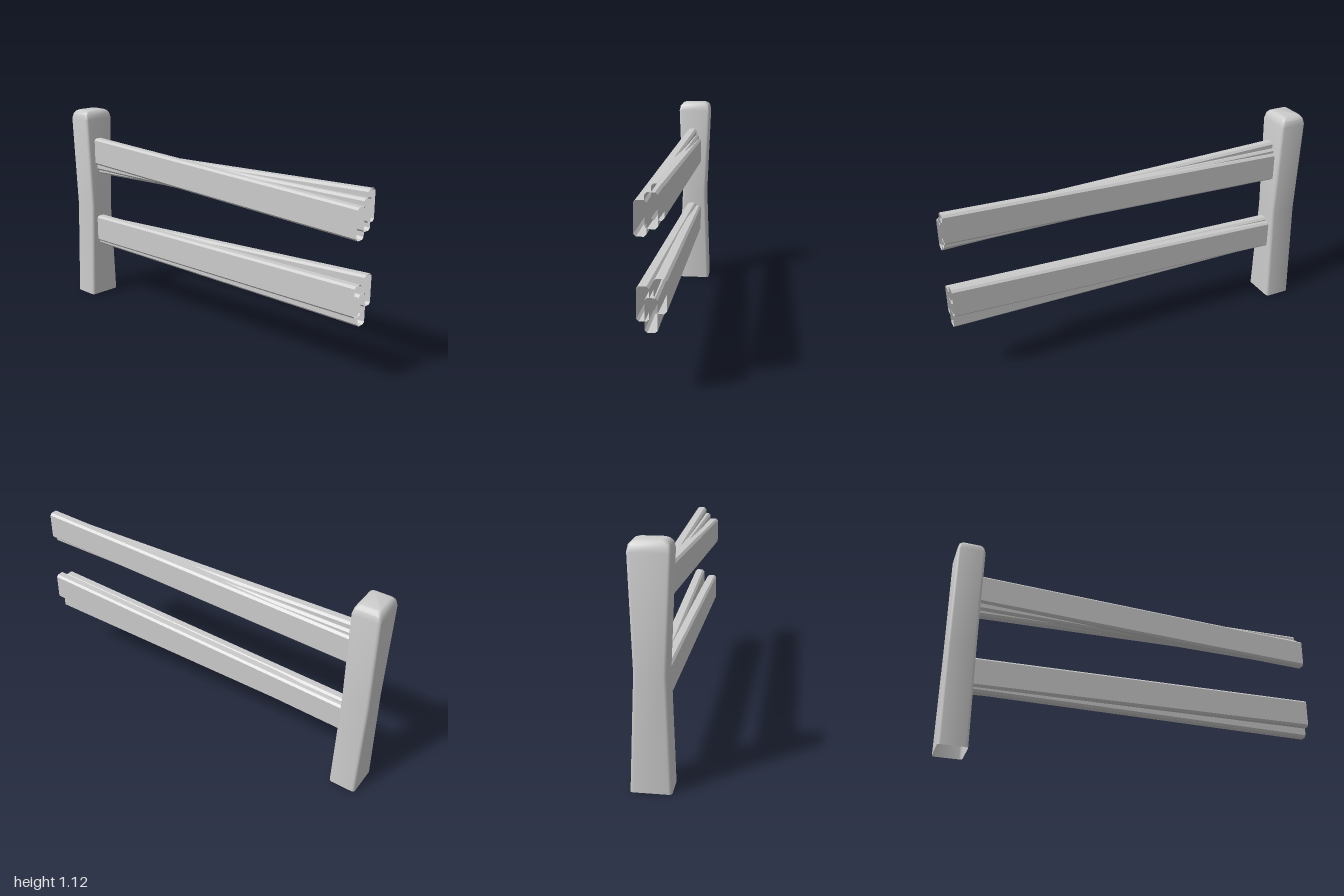
import * as THREE from 'three';
import { toCreasedNormals } from 'three/addons/utils/BufferGeometryUtils.js';

const material = new THREE.MeshStandardMaterial({ color: 0xcccccc, side: THREE.DoubleSide });

// Rectangle outline with rounded (or, with one segment, chamfered) corners
function outline(w, h, r, segments) {
  const points = [];
  [[1, 1], [-1, 1], [-1, -1], [1, -1]].forEach(([su, sv], corner) => {
    for (let i = 0; i <= segments; i++) {
      const a = (corner + i / segments) * Math.PI / 2;
      points.push([su * (w / 2 - r) + r * Math.cos(a), sv * (h / 2 - r) + r * Math.sin(a)]);
    }
  });
  return points;
}

// Skin over a row of matching rings, optionally closed at the last one
function loft(rings, closeEnd, crease) {
  const n = rings[0].length;
  const index = [];
  const positions = rings.flat(2);
  for (let k = 0; k < rings.length - 1; k++) {
    for (let i = 0; i < n; i++) {
      const a = k * n + i, b = k * n + (i + 1) % n;
      index.push(a, b, b + n, a, b + n, a + n);
    }
  }
  if (closeEnd) {
    const last = (rings.length - 1) * n;
    for (let i = 1; i < n - 1; i++) index.push(last, last + i, last + i + 1);
  }
  const geometry = new THREE.BufferGeometry();
  geometry.setAttribute('position', new THREE.Float32BufferAttribute(positions, 3));
  geometry.setIndex(index);
  return toCreasedNormals(geometry, crease);
}

// Post, narrowed at the waist, with a bevelled top and an open foot
function createPost() {
  const rings = [
    // height, depth, width
    [0, 0.187, 0.145],
    [0.55, 0.146, 0.145],
    [1.07, 0.187, 0.145],
    [1.1, 0.175, 0.13],
    [1.115, 0.148, 0.11],
    [1.12, 0.12, 0.095],
  ].map(([y, depth, width]) =>
    outline(depth, width, 0.015, 3).map(([z, x]) => [x - 0.9275, y, z]));
  const post = new THREE.Mesh(loft(rings, true, 0.6), material);
  post.name = 'post';
  return post;
}

// Hollow plank running from [y, z] at the post to [y, z] at the free end
function createPlank(start, end) {
  const rings = [[-0.87, start], [1, end]].map(([x, [y, z]]) =>
    outline(0.155, 0.056, 0.011, 1).map(([u, v]) => [x, y + u, z + v]));
  return new THREE.Mesh(loft(rings, false, 0.3), material);
}

export function createModel() {
  const group = new THREE.Group();
  group.name = 'fenceSection';
  group.add(createPost());

  // Each rail is a bundle of three slightly crossing planks
  const rails = {
    upperRail: {
      frontPlank: [[0.882, 0.013], [0.812, 0.042]],
      middlePlank: [[0.847, 0], [0.845, -0.005]],
      backPlank: [[0.822, -0.015], [0.882, -0.033]],
    },
    lowerRail: {
      frontPlank: [[0.413, 0.013], [0.442, 0.034]],
      middlePlank: [[0.392, 0], [0.392, -0.002]],
      backPlank: [[0.395, -0.015], [0.478, -0.042]],
    },
  };
  for (const [railName, planks] of Object.entries(rails)) {
    const rail = new THREE.Group();
    rail.name = railName;
    for (const [plankName, [start, end]] of Object.entries(planks)) {
      const plank = createPlank(start, end);
      plank.name = plankName;
      rail.add(plank);
    }
    group.add(rail);
  }
  return group;
}
